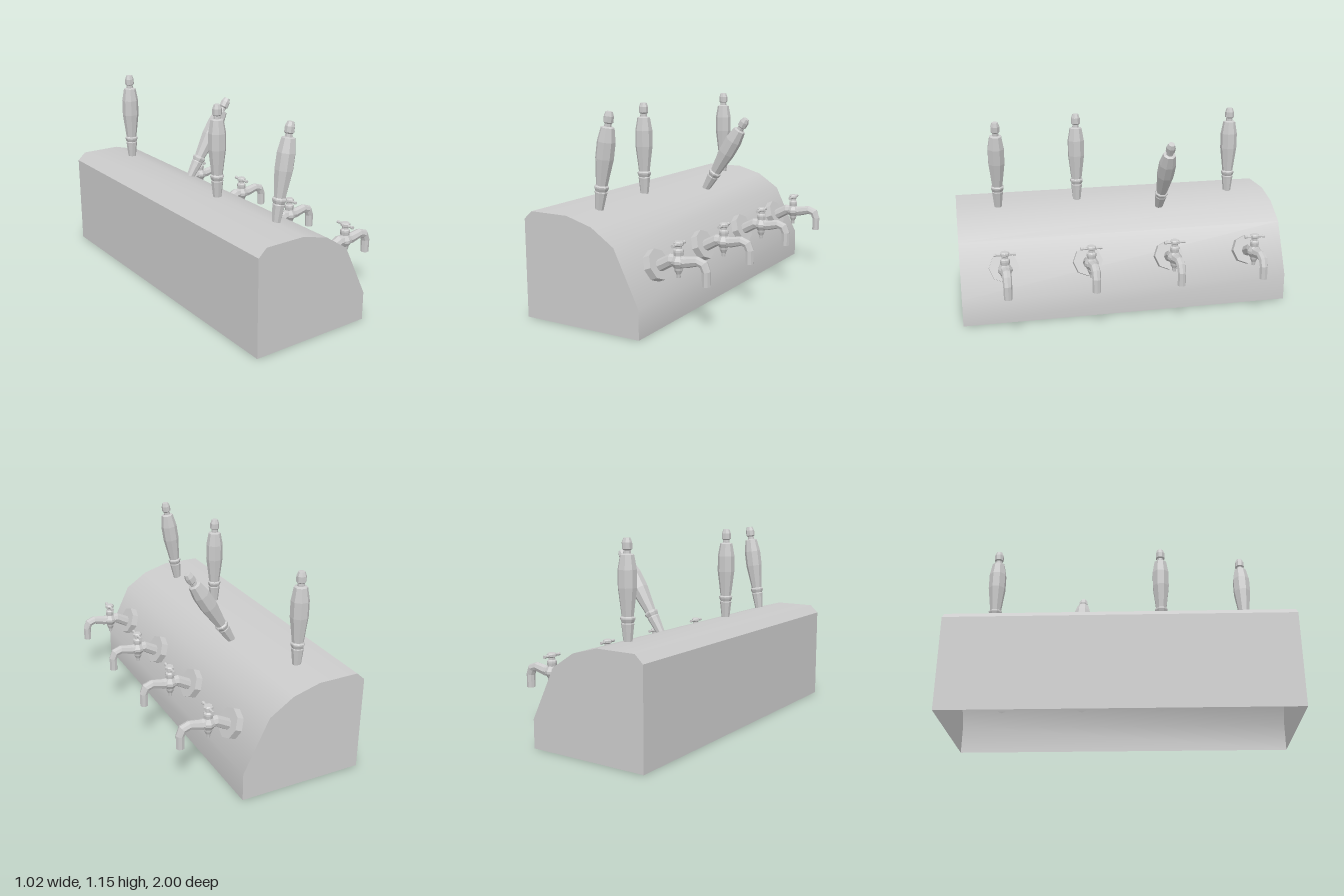
import * as THREE from 'three';
import { toCreasedNormals } from 'three/addons/utils/BufferGeometryUtils.js';

const SIDES = 8;
const flat = new THREE.MeshStandardMaterial({ color: 0xcccccc, flatShading: true });
const smooth = new THREE.MeshStandardMaterial({ color: 0xcccccc, side: THREE.DoubleSide });

function mesh(name, geometry, material = flat) {
  const m = new THREE.Mesh(geometry, material);
  m.name = name;
  return m;
}

// Eight-sided turned part from [radius, height] pairs, listed bottom to top
function turned(name, profile, phase = 0) {
  const pts = profile.map(([r, y]) => new THREE.Vector2(r, y));
  return mesh(name, new THREE.LatheGeometry(pts, SIDES, phase));
}

// Tapered pipe through [x, y, radius] stations in the xy plane
function pipe(name, stations) {
  const n = stations.length - 1;
  const geo = new THREE.CylinderGeometry(1, 1, 1, SIDES, n);
  const pos = geo.attributes.position;
  for (let i = 0; i < pos.count; i++) {
    const k = Math.round((0.5 - pos.getY(i)) * n);
    const [cx, cy, r] = stations[k];
    const a = stations[Math.max(k - 1, 0)], b = stations[Math.min(k + 1, n)];
    const t = new THREE.Vector2(b[0] - a[0], b[1] - a[1]).normalize();
    const u = pos.getX(i) * r;
    pos.setXYZ(i, cx - t.y * u, cy + t.x * u, pos.getZ(i) * r);
  }
  geo.computeVertexNormals();
  return mesh(name, geo);
}

// Housing: extruded profile with its underside left open
function housing() {
  const outline = [[-0.51, 0], [0.23, 0], [0.23, 0.165], [0.08, 0.47], [-0.06, 0.562],
    [-0.22, 0.606], [-0.46, 0.606], [-0.51, 0.56]];
  const shape = new THREE.Shape(outline.map(([x, y]) => new THREE.Vector2(x, y)));
  const solid = new THREE.ExtrudeGeometry(shape, { depth: 2, bevelEnabled: false });
  solid.translate(0, 0, -1);
  const p = solid.attributes.position.array;
  const kept = [];
  for (let i = 0; i < p.length; i += 9) {
    if (Math.max(p[i + 1], p[i + 4], p[i + 7]) > 1e-4) kept.push(...p.slice(i, i + 9));
  }
  const open = new THREE.BufferGeometry();
  open.setAttribute('position', new THREE.Float32BufferAttribute(kept, 3));
  return mesh('housing', toCreasedNormals(open, THREE.MathUtils.degToRad(40)), smooth);
}

// Turned pull handle, leaning towards +x by the given angle
function pullHandle(x, y, z, lean) {
  const handle = turned('pullHandle', [
    [0, -0.03], [0.021, -0.03], [0.034, 0.085], [0.036, 0.1], [0.033, 0.106], [0.036, 0.112],
    [0.041, 0.125], [0.041, 0.133], [0.033, 0.14], [0.052, 0.29], [0.052, 0.385],
    [0.038, 0.462], [0.021, 0.468], [0.02, 0.485], [0.028, 0.492], [0.028, 0.525],
    [0.019, 0.549], [0, 0.55]], Math.PI / SIDES);
  handle.position.set(x, y, z);
  handle.rotation.z = -THREE.MathUtils.degToRad(lean);
  return handle;
}

// Tap: wall flange, bent spout and a valve with a cross bar
function tap(z) {
  const g = new THREE.Group();
  g.name = 'tap';

  const flange = mesh('flange', new THREE.CylinderGeometry(0.089, 0.089, 0.042, SIDES));
  flange.position.set(0.176, 0.332, 0);
  flange.rotation.z = -THREE.MathUtils.degToRad(67);

  const spout = pipe('spout', [[0.17, 0.322, 0.034], [0.2, 0.335, 0.034], [0.27, 0.374, 0.034],
    [0.36, 0.372, 0.031], [0.43, 0.387, 0.027], [0.467, 0.374, 0.027],
    [0.482, 0.337, 0.025], [0.482, 0.26, 0.024]]);

  const valve = turned('valveStem', [
    [0, 0.283], [0.011, 0.283], [0.014, 0.305], [0.024, 0.325], [0.026, 0.338], [0.042, 0.362],
    [0.042, 0.378], [0.026, 0.405], [0.029, 0.425], [0.028, 0.435], [0.019, 0.443],
    [0.019, 0.455], [0.028, 0.461], [0.028, 0.474], [0.021, 0.481], [0, 0.481]]);
  valve.position.x = 0.315;

  const bar = turned('valveBar', [[0, -0.063], [0.01, -0.063], [0.01, -0.054], [0.007, -0.045],
    [0.011, 0], [0.007, 0.045], [0.01, 0.054], [0.01, 0.063], [0, 0.063]]);
  bar.position.set(0.315, 0.465, 0);
  bar.rotation.x = Math.PI / 2;

  g.add(flange, spout, valve, bar);
  g.position.z = z;
  return g;
}

export function createModel() {
  const model = new THREE.Group();
  model.name = 'tapStation';
  model.add(housing());

  // Handles as [x, y, z, lean in degrees]; two stand upright, two are pulled
  const handles = [[-0.23, 0.6, 0.245, 0], [-0.23, 0.6, -0.755, 0],
    [-0.196, 0.597, 0.745, 8.6], [-0.089, 0.565, -0.257, 31.7]];
  for (const h of handles) model.add(pullHandle(...h));
  for (let i = 0; i < 4; i++) model.add(tap(0.745 - 0.5 * i));
  return model;
}
